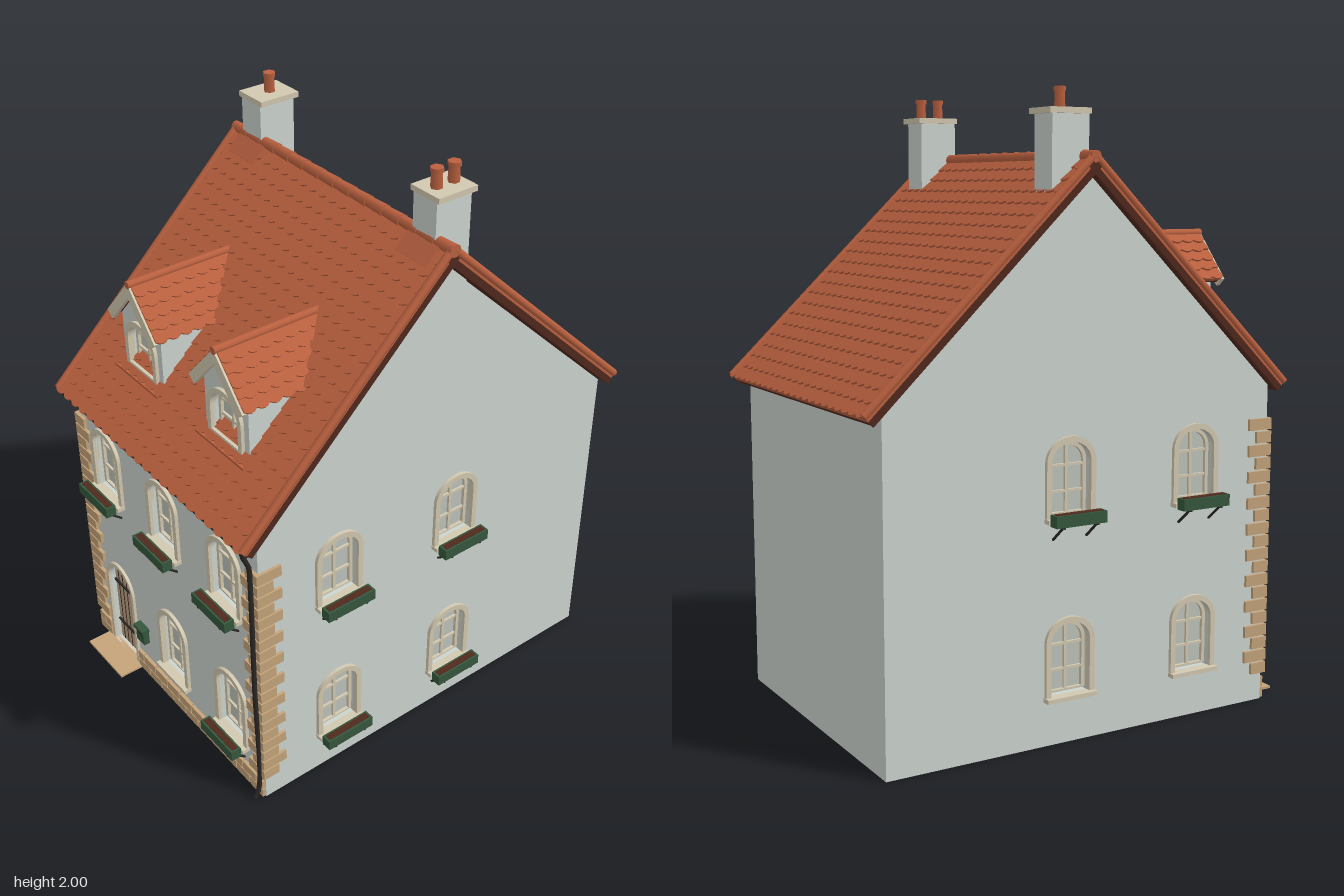
import * as THREE from 'three';
import { mergeGeometries } from 'three/addons/utils/BufferGeometryUtils.js';

const mat = (name, color) => {
  const m = new THREE.MeshStandardMaterial({ color });
  m.name = name;
  return m;
};
const M = {
  tile: mat('clay tile', 0xb9603f), wall: mat('pale render', 0xccd4cf), trim: mat('dark brown trim', 0x50291d),
  stone: mat('sandstone', 0xc4a37a), cream: mat('cream stone', 0xd2c8b0), green: mat('planter green', 0x35573d),
  metal: mat('dark iron', 0x2b2826), door: mat('door wood', 0xb5a386), glass: mat('window glass', 0xbcc2ba),
  room: mat('interior tan', 0xc6a67c),
};

const add = (parent, name, geo, material, x = 0, y = 0, z = 0) => {
  const m = new THREE.Mesh(geo, material);
  m.name = name;
  m.position.set(x, y, z);
  parent.add(m);
  return m;
};
const box = (parent, name, material, w, h, d, x, y, z) =>
  add(parent, name, new THREE.BoxGeometry(w, h, d), material, x, y, z);
const group = (parent, name, x = 0, y = 0, z = 0, ry = 0) => {
  const g = new THREE.Group();
  g.name = name;
  g.position.set(x, y, z);
  g.rotation.y = ry;
  parent.add(g);
  return g;
};
const extrude = (shape, depth) =>
  new THREE.ExtrudeGeometry(shape, { depth, bevelEnabled: false, curveSegments: 12 });

// Round-headed opening, as a shape or as a hole
function arch(P, x, y0, w, h, rise) {
  const p = new P(), ys = y0 + h - rise;
  p.moveTo(x - w / 2, y0);
  p.lineTo(x + w / 2, y0);
  p.lineTo(x + w / 2, ys);
  p.absellipse(x, ys, w / 2, rise, 0, Math.PI, false, 0);
  p.closePath();
  return p;
}
function archRing(x, y0, w, h, rise, t, depth) {
  const s = arch(THREE.Shape, x, y0 - t * 0.5, w + 2 * t, h + t * 1.5, rise + t);
  s.holes.push(arch(THREE.Path, x, y0, w, h, rise));
  return extrude(s, depth);
}

// Recessed window on a wall whose outer face is local z = 0
function addWindow(parent, { x, y, w = 0.14, h, rise = 0.06, planter = false, sill = true }) {
  const g = group(parent, 'window');
  add(g, 'surround', archRing(x, y, w, h, rise, 0.018, 0.022), M.cream, 0, 0, -0.01);
  add(g, 'windowFrame', archRing(x, y + 0.012, w - 0.024, h - 0.024, rise - 0.012, 0.012, 0.012), M.cream, 0, 0, -0.03);
  add(g, 'glass', extrude(arch(THREE.Shape, x, y, w, h, rise), 0.005), M.glass, 0, 0, -0.034);
  box(g, 'mullion', M.cream, 0.01, h - 0.01, 0.008, x, y + h / 2, -0.024);
  for (const t of [0.33, 0.68]) box(g, 'glazingBar', M.cream, w - 0.01, 0.008, 0.008, x, y + h * t, -0.024);
  if (sill) box(g, 'sill', M.cream, w + 0.04, 0.014, 0.035, x, y - 0.006, 0.01);
  if (planter) addPlanter(g, x, y);
}
function addPlanter(parent, x, y) {
  const g = group(parent, 'planter', x, y, 0);
  box(g, 'planterBox', M.green, 0.18, 0.037, 0.036, 0, 0.003, 0.053);
  box(g, 'soil', M.trim, 0.164, 0.003, 0.022, 0, 0.022, 0.053);
  for (const s of [-1, 1]) {
    box(g, 'bracketArm', M.metal, 0.006, 0.005, 0.07, s * 0.06, -0.018, 0.035);
    const b = box(g, 'bracketBrace', M.metal, 0.006, 0.006, 0.075, s * 0.06, -0.042, 0.03);
    b.rotation.x = -0.7;
  }
}

// Tiled slope: local -y runs down the pitch, z is the outward normal
function tiledSlope(parent, name, { x = 0, y, z, ry, pitch, width, length, rows, tiles, thick }) {
  const g = group(parent, name, x, y, z);
  g.rotation.set(pitch - Math.PI / 2, ry, 0, 'YXZ');
  box(g, 'roofDeck', M.tile, width, length, thick * 0.5, 0, -length / 2, -thick * 0.25);
  box(g, 'roofUnderside', M.trim, width - 0.01, length - 0.006, thick * 0.5, 0, -length / 2, -thick * 0.75);
  const p = length / rows, tw = width / tiles, geos = [];
  for (let r = 0; r < rows; r++) {
    const s = new THREE.Shape(), odd = r % 2, len = p;
    s.moveTo(width / 2, 0);
    s.lineTo(-width / 2, 0);
    s.lineTo(-width / 2, -len);
    if (odd) s.lineTo(-width / 2 + tw / 2, -len);
    for (let i = 0; i < tiles - odd; i++) {
      const a = -width / 2 + tw * (i + odd / 2);
      s.quadraticCurveTo(a + tw / 2, -len - tw * 0.45, a + tw, -len);
    }
    s.lineTo(width / 2, -len);
    s.closePath();
    const geo = new THREE.ExtrudeGeometry(s, { depth: 0.006, bevelEnabled: false, curveSegments: 4 });
    geo.rotateX(-0.006 / p);
    geo.translate(0, -r * p, 0);
    geos.push(geo);
  }
  add(g, 'scallopedTiles', mergeGeometries(geos), M.tile);
  return g;
}

function addDormer(parent, x) {
  const g = group(parent, 'dormer', x, 0, 0);
  const s = new THREE.Shape([[-0.112, 1.2], [0.112, 1.2], [0.112, 1.415], [0, 1.53], [-0.112, 1.415]]
    .map(([a, b]) => new THREE.Vector2(a, b)));
  s.holes.push(arch(THREE.Path, 0, 1.235, 0.14, 0.15, 0.065));
  add(g, 'dormerWalls', extrude(s, 0.295), M.wall, 0, 0, 0.28);
  const face = group(g, 'dormerFace', 0, 0, 0.575);
  addWindow(face, { x: 0, y: 1.235, h: 0.15, rise: 0.065, sill: false });
  box(g, 'dormerSill', M.cream, 0.22, 0.014, 0.03, 0, 1.213, 0.58);
  box(g, 'dormerApron', M.tile, 0.25, 0.04, 0.05, 0, 1.19, 0.585);
  for (const side of [-1, 1]) {
    const slope = tiledSlope(g, 'dormerRoof', { y: 1.55, z: 0.425, ry: side * Math.PI / 2, pitch: 0.84,
      width: 0.36, length: 0.195, rows: 5, tiles: 8, thick: 0.02 });
    box(slope, 'bargeboard', M.cream, 0.014, 0.2, 0.034, -side * 0.18, -0.1, -0.012);
  }
  const ridge = add(g, 'dormerRidge', new THREE.CylinderGeometry(0.013, 0.013, 0.375, 10), M.tile, 0, 1.552, 0.425);
  ridge.rotation.x = Math.PI / 2;
}

function addChimney(parent, x, pots) {
  const g = group(parent, 'chimney', x, 0, -0.06);
  box(g, 'chimneyStack', M.wall, 0.1, 0.32, 0.13, 0, 1.765, 0);
  box(g, 'chimneyCap', M.cream, 0.122, 0.018, 0.145, 0, 1.928, -0.005);
  for (const z of pots) {
    add(g, 'chimneyPot', new THREE.CylinderGeometry(0.017, 0.019, 0.065, 6), M.tile, 0, 1.965, z);
    add(g, 'potRim', new THREE.CylinderGeometry(0.021, 0.021, 0.014, 6), M.tile, 0, 1.993, z);
  }
}

export function createModel() {
  const house = new THREE.Group();
  house.name = 'house';
  const L = -0.52, R = 0.515, F = 0.68, B = -0.71, T = 0.04, eave = 1.065, ridgeZ = -0.01;

  // Front wall, with door and windows cut through
  const front = group(house, 'frontSide', 0, 0, F);
  const frontWins = [-0.35, -0.005, 0.34].map(x => ({ x, y: 0.715, h: 0.24, planter: true }))
    .concat([{ x: -0.005, y: 0.145, h: 0.26 }, { x: 0.34, y: 0.155, h: 0.25, planter: true }]);
  const door = { x: -0.345, y: 0, w: 0.15, h: 0.38, rise: 0.08 };
  const fs = new THREE.Shape([[L + T, 0], [R - T, 0], [R - T, eave], [L + T, eave]].map(p => new THREE.Vector2(...p)));
  for (const w of frontWins) fs.holes.push(arch(THREE.Path, w.x, w.y, 0.14, w.h, 0.06));
  fs.holes.push(arch(THREE.Path, door.x, 0.003, door.w, door.h - 0.003, door.rise));
  add(front, 'frontWall', extrude(fs, T), M.wall, 0, 0, -T);
  frontWins.forEach(w => addWindow(front, w));
  box(house, 'backWall', M.wall, R - L - 2 * T, eave, T, (L + R) / 2, eave / 2, B + T / 2);

  // Gable walls; s = 1 is the model's left
  for (const s of [1, -1]) {
    const g = group(house, s > 0 ? 'leftSide' : 'rightSide', s > 0 ? R : L, 0, 0, s * Math.PI / 2);
    const pts = [[F, 0], [F, eave], [ridgeZ, 1.73], [B, eave], [B, 0]].map(([z, y]) => new THREE.Vector2(-s * z, y));
    const shape = new THREE.Shape(pts);
    const wins = [];
    for (const z of [0.385, -0.085])
      wins.push({ x: -s * z, y: 0.715, h: 0.23, planter: true }, { x: -s * z, y: 0.155, h: 0.23, planter: s > 0 });
    for (const w of wins) shape.holes.push(arch(THREE.Path, w.x, w.y, 0.14, w.h, 0.06));
    add(g, 'gableWall', extrude(shape, T), M.wall, 0, 0, -T);
    wins.forEach(w => addWindow(g, w));
    // Small room behind the rear windows
    box(house, 'rearRoom', M.room, 0.3, 0.88, 0.28, s > 0 ? R - T - 0.152 : L + T + 0.152, 0.54, -0.1);
  }
  box(house, 'frontRoom', M.room, R - L - 2 * T - 0.004, 1.02, 0.6, (L + R) / 2, 0.52, 0.337);

  // Plank door
  const d = group(front, 'door');
  add(d, 'doorSurround', archRing(door.x, 0.003, door.w, door.h - 0.003, door.rise, 0.014, 0.02), M.cream, 0, 0.005, -0.01);
  add(d, 'doorLeaf', extrude(arch(THREE.Shape, door.x, 0.003, door.w, door.h - 0.003, door.rise), 0.01), M.door, 0, 0, -0.028);
  for (let i = -2; i <= 2; i++) {
    const h = 0.3 + 0.08 * Math.sqrt(1 - (i * 0.026 / 0.075) ** 2) - 0.008;
    box(d, 'plankGap', M.trim, 0.004, h, 0.002, door.x + i * 0.026, h / 2 + 0.004, -0.0175);
  }
  for (const y of [0.09, 0.28]) box(d, 'hinge', M.metal, 0.125, 0.008, 0.006, door.x - 0.012, y, -0.015);
  add(d, 'knob', new THREE.SphereGeometry(0.009, 8, 6), M.metal, door.x + 0.055, 0.175, -0.01);
  box(house, 'doorstep', M.stone, 0.225, 0.008, 0.1, -0.348, 0.004, 0.727);

  // Letter box
  box(front, 'letterBox', M.green, 0.05, 0.06, 0.022, -0.205, 0.185, 0.011);
  box(front, 'letterBoxLid', M.green, 0.058, 0.012, 0.03, -0.205, 0.217, 0.014);
  box(front, 'letterSlot', M.metal, 0.032, 0.005, 0.004, -0.205, 0.196, 0.022);

  // Corner stones on the two front corners
  const n = 20, pitchY = 0.87 / n;
  for (const s of [-1, 1]) for (let i = 0; i < n; i++) {
    const w = i % 2 ? 0.06 : 0.085, dz = i % 2 ? 0.09 : 0.06;
    box(house, 'cornerStone', M.stone, w, pitchY - 0.006, dz,
      (s > 0 ? R : L) + s * (0.01 - w / 2), 0.09 + pitchY * (i + 0.5), F + 0.012 - dz / 2);
  }
  // Two-course plinth either side of the door
  for (const [x0, x1] of [[L, -0.438], [-0.252, R]]) for (let r = 0; r < 2; r++) {
    const count = Math.max(1, Math.round((x1 - x0) / 0.075)), w = (x1 - x0) / count;
    for (let i = 0; i < count + r; i++) {
      const a = Math.max(x0, x0 + (i - r / 2) * w), b = Math.min(x1, x0 + (i + 1 - r / 2) * w);
      box(house, 'plinthStone', M.stone, b - a - 0.005, 0.034, 0.02, (a + b) / 2, 0.02 + r * 0.038, F + 0.002);
    }
  }

  // Main roof
  for (const [name, ry, run] of [['frontRoof', 0, 0.745], ['backRoof', Math.PI, 0.755]]) {
    const pitch = Math.atan2(0.72, run), length = Math.hypot(0.72, run);
    const g = tiledSlope(house, name, { y: 1.79, z: ridgeZ, ry, pitch, width: 1.066, length, rows: 21, tiles: 22, thick: 0.036 });
    for (const s of [-1, 1]) {
      add(g, 'vergeTiles', new THREE.CylinderGeometry(0.013, 0.013, length, 8), M.tile, s * 0.528, -length / 2, 0.006);
      box(g, 'vergeBoard', M.trim, 0.01, length, 0.022, s * 0.53, -length / 2, -0.024);
      if (!ry) box(g, 'chimneyFlashing', M.tile, 0.135, 0.07, 0.012, s * 0.422, -0.045, 0.008);
    }
  }
  for (let i = 0; i < 14; i++) {
    const r = add(house, 'ridgeTile', new THREE.CylinderGeometry(0.018, 0.021, 0.08, 10), M.tile, -0.499 + i * 0.0768, 1.794, ridgeZ);
    r.rotation.z = Math.PI / 2;
  }

  [-0.233, 0.23].forEach(x => addDormer(house, x));
  addChimney(house, -0.425, [-0.008]);
  addChimney(house, 0.42, [-0.04, 0.025]);

  // Gutter and downpipe
  const gutter = add(house, 'gutter', new THREE.CylinderGeometry(0.011, 0.011, 1.06, 8), M.metal, 0, 1.062, 0.727);
  gutter.rotation.z = Math.PI / 2;
  const path = new THREE.CatmullRomCurve3([[1.06, 0.727], [1.035, 0.722], [0.985, 0.702], [0.93, 0.7], [0.5, 0.7], [0.04, 0.7], [0.01, 0.715]]
    .map(([y, z]) => new THREE.Vector3(0.503, y, z)));
  add(house, 'downpipe', new THREE.TubeGeometry(path, 40, 0.008, 8), M.metal);
  return house;
}
